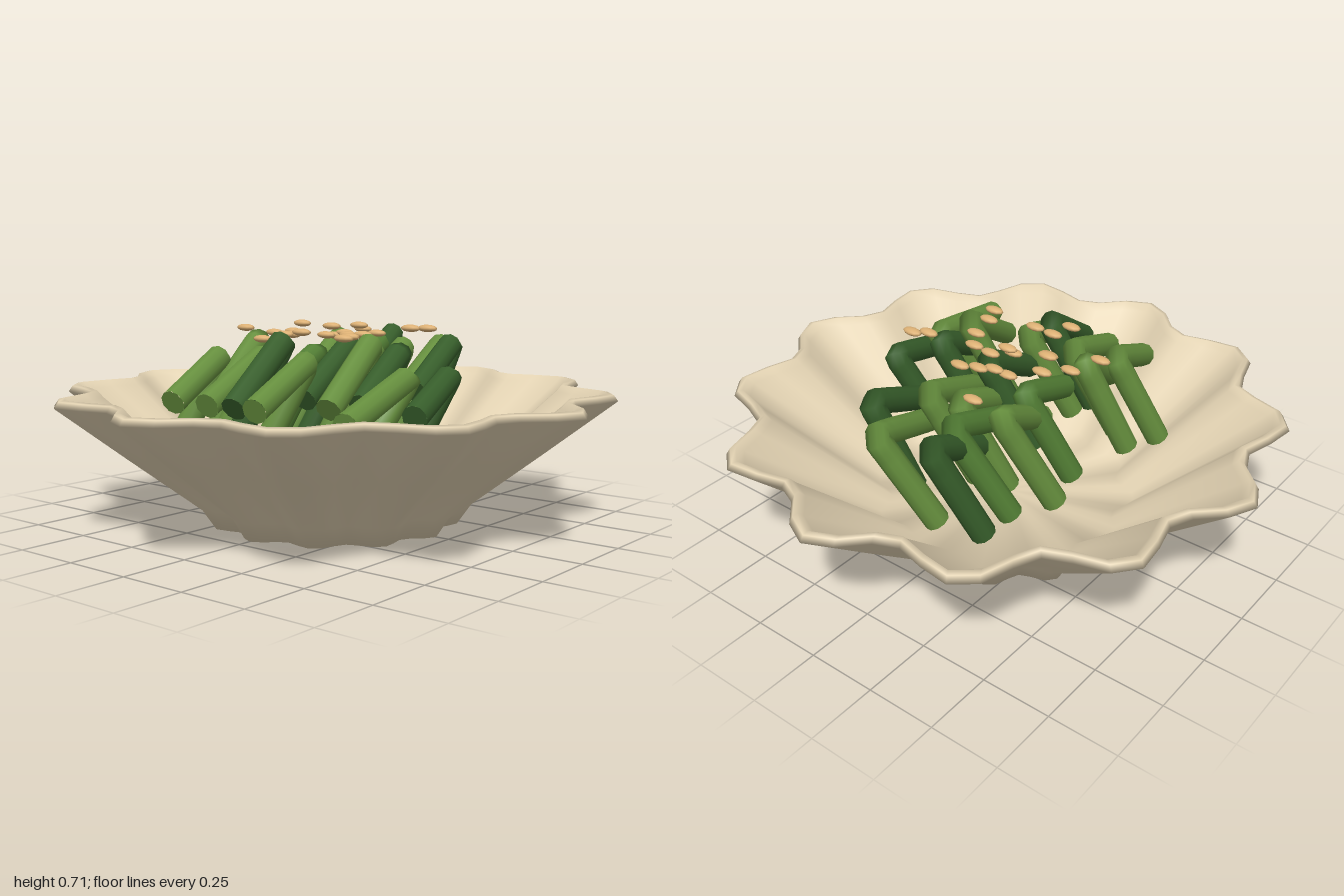
import * as THREE from 'three';
import { mergeVertices, mergeGeometries } from 'three/addons/utils/BufferGeometryUtils.js';

const mat = (name, color) => {
  const m = new THREE.MeshStandardMaterial({ color });
  m.name = name;
  return m;
};

// Lathe whose radius waves in and out twelve times around the rim
function bowlGeometry() {
  const profile = [
    [0, 0], [0.45, 0], [0.5, 0.072], [0.75, 0.262], [1, 0.455], [0.985, 0.476],
    [0.965, 0.48], [0.94, 0.455], [0.48, 0.1], [0, 0.09],
  ].map(([r, y]) => new THREE.Vector2(r, y));
  let geo = new THREE.LatheGeometry(profile, 64);
  const p = geo.attributes.position;
  for (let i = 0; i < p.count; i++) {
    const x = p.getX(i), z = p.getZ(i);
    const s = 0.935 + 0.065 * Math.cos(12 * Math.atan2(x, z));
    p.setX(i, x * s);
    p.setZ(i, z * s);
  }
  geo.deleteAttribute('normal');
  geo.deleteAttribute('uv');
  geo = mergeVertices(geo, 1e-4);
  geo.computeVertexNormals();
  return geo;
}

// Bent tube from a to b over a rounded elbow, with a flat disc on each end
function beanGeometry(a, elbow, b, radius = 0.044) {
  const curve = new THREE.CatmullRomCurve3([
    a, a.clone().lerp(elbow, 0.45), a.clone().lerp(elbow, 0.8),
    elbow.clone().lerp(a.clone().lerp(b, 0.5), 0.04),
    b.clone().lerp(elbow, 0.75), b.clone().lerp(elbow, 0.4), b,
  ], false, 'centripetal');
  const parts = [new THREE.TubeGeometry(curve, 28, radius, 10, false)];
  for (const [t, sign] of [[0, -1], [1, 1]]) {
    const cap = new THREE.CircleGeometry(radius, 10);
    const dir = curve.getTangent(t).multiplyScalar(sign);
    cap.applyQuaternion(new THREE.Quaternion().setFromUnitVectors(new THREE.Vector3(0, 0, 1), dir));
    const end = curve.getPoint(t);
    cap.translate(end.x, end.y, end.z);
    parts.push(cap);
  }
  return mergeGeometries(parts);
}

// Each bean: colour, resting end x z, elbow x y z, hanging end x z
const BEANS = [
  ['light', -0.60, -0.20, -0.30, 0.61, -0.26, -0.44, -0.38],
  ['light', -0.40, -0.18, -0.12, 0.66, -0.25, -0.25, -0.36],
  ['light', -0.59, -0.05, -0.25, 0.61, -0.11, -0.39, -0.23],
  ['dark', -0.59, 0.07, -0.27, 0.68, 0.01, -0.40, -0.11],
  ['light', -0.59, 0.16, -0.26, 0.60, 0.10, -0.40, -0.02],
  ['light', 0.00, -0.16, 0.31, 0.64, -0.22, 0.16, -0.34],
  ['mid', 0.08, -0.06, 0.43, 0.62, -0.11, 0.29, -0.25],
  ['dark', 0.28, -0.10, 0.60, 0.65, -0.17, 0.46, -0.27],
  ['light', 0.26, 0.14, 0.60, 0.61, 0.06, 0.46, -0.07],
  ['dark', 0.15, 0.25, 0.48, 0.63, 0.19, 0.37, 0.11],
  ['light', -0.02, 0.16, 0.31, 0.62, 0.09, 0.18, -0.02],
  ['dark', -0.27, 0.09, 0.06, 0.65, 0.04, -0.07, -0.08],
  ['light', -0.42, 0.32, -0.11, 0.67, 0.26, -0.24, 0.15],
  ['dark', -0.28, 0.34, 0.02, 0.63, 0.28, -0.11, 0.17],
  ['light', -0.56, 0.50, -0.12, 0.56, 0.42, -0.37, 0.36],
  ['dark', -0.22, 0.51, 0.09, 0.55, 0.44, -0.03, 0.34],
  ['light', -0.02, 0.03, 0.28, 0.61, -0.02, 0.15, -0.13],
  ['mid', -0.22, -0.10, 0.09, 0.60, -0.15, -0.04, -0.27],
];

// Seeds: x, y, z
const SEEDS = [
  [-0.13, 0.69, -0.31], [-0.04, 0.67, -0.25], [0.07, 0.7, -0.21], [-0.08, 0.67, -0.13],
  [-0.06, 0.68, -0.14], [-0.3, 0.67, -0.07], [-0.2, 0.68, -0.06], [-0.19, 0.69, 0.01],
  [0.31, 0.67, -0.11], [0.1, 0.66, -0.09], [0.11, 0.67, -0.04], [0.17, 0.695, -0.02],
  [-0.02, 0.67, -0.02], [0.01, 0.7, -0.02], [0.03, 0.67, 0.04], [0.16, 0.67, 0.07],
  [0.02, 0.67, 0.12], [-0.04, 0.68, 0.16], [-0.15, 0.68, 0.19], [-0.22, 0.68, 0.22],
  [0.09, 0.7, 0.27], [0.12, 0.7, 0.32],
];

export function createModel() {
  const model = new THREE.Group();
  const add = (name, geo, material) => {
    const mesh = new THREE.Mesh(geo, material);
    mesh.name = name;
    model.add(mesh);
    return mesh;
  };

  add('scallopedBowl', bowlGeometry(), mat('stoneware', 0xe2d2b2));

  const greens = {
    light: mat('lightGreen', 0x668f3e),
    mid: mat('midGreen', 0x537f35),
    dark: mat('darkGreen', 0x375e2b),
  };
  for (const [shade, ax, az, ex, ey, ez, bx, bz] of BEANS) {
    const a = new THREE.Vector3(ax, Math.min(0.47, ey - 0.11), az);
    const elbow = new THREE.Vector3(ex, ey, ez);
    const b = new THREE.Vector3(bx, Math.max(0.25, ey - 0.36), bz);
    add('greenBean', beanGeometry(a, elbow, b), greens[shade]);
  }

  const seedGeo = new THREE.SphereGeometry(1, 10, 8).scale(0.021, 0.013, 0.039);
  const seedMat = mat('toastedSeed', 0xdcb074);
  for (const s of SEEDS) add('sesameSeed', seedGeo, seedMat).position.set(...s);

  return model;
}
